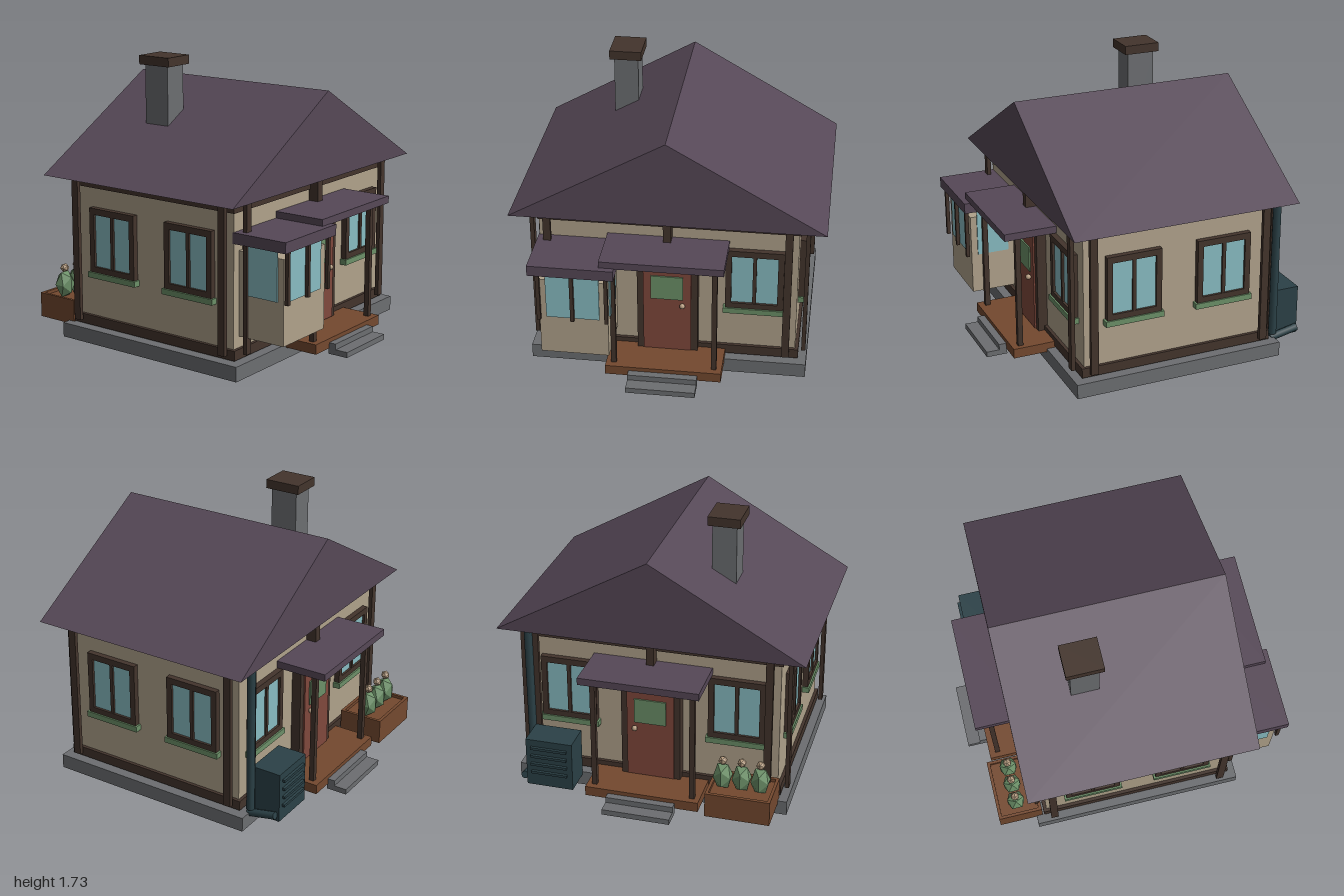
import * as THREE from 'three';

const mat = (name, color) => {
  const m = new THREE.MeshStandardMaterial({ color });
  m.name = name;
  return m;
};

export function createModel() {
  const wall = mat('plaster', 0xb0a28b), roof = mat('roofPurple', 0x564857);
  const timber = mat('darkTimber', 0x43342c), red = mat('doorRed', 0x80483c);
  const green = mat('leafGreen', 0x6c9068), glass = mat('windowBlue', 0x88bcc2);
  const stone = mat('stoneGrey', 0x6c6e71), deck = mat('deckBrown', 0x74492f);
  const teal = mat('darkTeal', 0x2b4147), pale = mat('paleBlossom', 0xb59c80);

  const house = new THREE.Group();
  house.name = 'cottage';

  const add = (parent, name, geometry, material) => {
    const mesh = new THREE.Mesh(geometry, material);
    mesh.name = name;
    parent.add(mesh);
    return mesh;
  };
  // Box given by its low and high limits on each axis
  const box = (parent, name, material, x0, x1, y0, y1, z0, z1) => {
    const m = add(parent, name, new THREE.BoxGeometry(x1 - x0, y1 - y0, Math.abs(z1 - z0)), material);
    m.position.set((x0 + x1) / 2, (y0 + y1) / 2, (z0 + z1) / 2);
    return m;
  };
  const group = (name, parent = house) => {
    const g = new THREE.Group();
    g.name = name;
    parent.add(g);
    return g;
  };

  // Base, walls and timber bands
  box(house, 'foundation', stone, -0.84, 0.84, 0, 0.09, -0.665, 0.665);
  box(house, 'walls', wall, -0.77, 0.77, 0.09, 1.03, -0.595, 0.595);
  box(house, 'lowerBand', timber, -0.79, 0.79, 0.1, 0.16, -0.615, 0.615);
  box(house, 'upperBand', timber, -0.78, 0.78, 0.96, 1.02, -0.605, 0.605);

  // Gable roof as one prism
  const gable = new THREE.Shape([
    new THREE.Vector2(-0.93, 1.03), new THREE.Vector2(0.93, 1.03), new THREE.Vector2(0, 1.56),
  ]);
  const roofGeometry = new THREE.ExtrudeGeometry(gable, { depth: 1.415, bevelEnabled: false });
  roofGeometry.translate(0, 0, -0.7075);
  add(house, 'roof', roofGeometry, roof);

  // Chimney
  box(house, 'chimney', stone, -0.43, -0.283, 1.1, 1.675, -0.324, -0.152);
  box(house, 'chimneyCap', timber, -0.455, -0.26, 1.675, 1.73, -0.35, -0.125);

  // Corner posts, standing just off the walls
  for (const sx of [-1, 1]) {
    for (const sz of [-1, 1]) {
      const x = sx * 0.713, z = sz * 0.551;
      box(house, 'cornerPost', timber, x - 0.0225, x + 0.0225, 0.13, 1.03, sz * 0.647 - 0.0125, sz * 0.647 + 0.0125);
      box(house, 'sidePost', timber, sx * 0.82 - 0.0125, sx * 0.82 + 0.0125, 0.13, 1.03, z - 0.0235, z + 0.0235);
    }
  }

  // Window, built facing +z with its back on z = 0
  const rect = (C, x, y0, y1) => new C([
    new THREE.Vector2(-x, y0), new THREE.Vector2(x, y0), new THREE.Vector2(x, y1), new THREE.Vector2(-x, y1),
  ]);
  const frameShape = rect(THREE.Shape, 0.1725, 0.443, 0.842);
  frameShape.holes.push(rect(THREE.Path, 0.137, 0.48, 0.803));
  const frameGeometry = new THREE.ExtrudeGeometry(frameShape, { depth: 0.035, bevelEnabled: false });
  const addWindow = (x, z, turn) => {
    const w = group('window');
    add(w, 'windowFrame', frameGeometry, timber);
    box(w, 'pane', glass, -0.14, 0.14, 0.475, 0.81, 0.012, 0.02);
    box(w, 'mullion', timber, -0.011, 0.011, 0.48, 0.803, 0, 0.033);
    box(w, 'sill', green, -0.185, 0.185, 0.41, 0.445, 0, 0.045);
    w.position.set(x, 0, z);
    w.rotation.y = turn;
  };
  for (const s of [-1, 1]) {
    addWindow(s * 0.516, 0.595, 0);
    addWindow(s * 0.516, -0.595, Math.PI);
    addWindow(0.77, s * 0.288, Math.PI / 2);
    addWindow(-0.77, s * 0.288, -Math.PI / 2);
  }

  // Door, porch, canopy and steps, the same at front and back
  for (const s of [1, -1]) {
    const p = group(s > 0 ? 'frontPorch' : 'backPorch');
    const part = (name, m, x0, x1, y0, y1, z0, z1) => box(p, name, m, x0, x1, y0, y1, s * z0, s * z1);
    part('doorFrameTop', timber, -0.182, 0.182, 0.775, 0.825, 0.59, 0.655);
    for (const x of [-0.1625, 0.1625]) part('doorFrameSide', timber, x - 0.0195, x + 0.0195, 0.13, 0.775, 0.59, 0.655);
    part('door', red, -0.144, 0.144, 0.135, 0.776, 0.59, 0.665);
    part('doorPanel', green, -0.097, 0.097, 0.5, 0.658, 0.665, 0.674);
    add(p, 'doorKnob', new THREE.SphereGeometry(0.017, 12, 8), pale).position.set(0.093, 0.463, s * 0.681);
    part('centrePost', timber, -0.0235, 0.0235, 0.82, 1.03, 0.59, 0.66);
    part('deck', deck, -0.348, 0.348, 0.07, 0.13, 0.6, 0.875);
    part('canopy', roof, -0.362, 0.362, 0.846, 0.89, 0.59, 0.917);
    for (const x of [-0.301, 0.301]) part('canopyPost', timber, x - 0.0155, x + 0.0155, 0.13, 0.847, 0.804, 0.836);
    part('upperStep', stone, -0.207, 0.207, 0.07, 0.105, 0.84, 0.92);
    part('lowerStep', stone, -0.207, 0.207, 0.036, 0.07, 0.87, 1.0);
  }

  // Bay window at the front
  const bay = group('bayWindow');
  box(bay, 'bayBody', wall, -0.722, -0.315, 0.228, 0.735, 0.59, 0.905);
  box(bay, 'bayFrontPane', glass, -0.68, -0.365, 0.482, 0.782, 0.905, 0.913);
  box(bay, 'baySidePane', glass, -0.315, -0.307, 0.482, 0.775, 0.665, 0.865);
  box(bay, 'baySidePane', glass, -0.73, -0.722, 0.482, 0.775, 0.665, 0.865);
  for (const x of [-0.72, -0.522, -0.32]) box(bay, 'bayMullion', timber, x - 0.011, x + 0.011, 0.475, 0.79, 0.918, 0.94);
  box(bay, 'bayCanopy', roof, -0.775, -0.272, 0.785, 0.85, 0.59, 0.952);

  // Planter with three bushes at the back
  const planter = group('planter');
  box(planter, 'planterBody', deck, -0.77, -0.41, 0.07, 0.205, -0.89, -0.64);
  for (const z of [-0.895, -0.635]) box(planter, 'planterRim', deck, -0.785, -0.396, 0.07, 0.225, z - 0.01, z + 0.01);
  for (const x of [-0.776, -0.405]) box(planter, 'planterRim', deck, x - 0.009, x + 0.009, 0.07, 0.225, -0.885, -0.645);
  for (const x of [-0.7, -0.588, -0.474]) {
    const bush = add(planter, 'bush', new THREE.IcosahedronGeometry(0.062), green);
    bush.position.set(x, 0.285, -0.775);
    bush.scale.y = 1.5;
    add(planter, 'blossom', new THREE.IcosahedronGeometry(0.029), pale).position.set(x, 0.389, -0.775);
  }

  // Cooling unit with slats on its rear face
  const unit = group('coolingUnit');
  box(unit, 'unitBody', teal, 0.437, 0.727, 0.07, 0.382, -0.845, -0.66);
  for (let i = 0; i < 4; i++) {
    const y = 0.165 + i * 0.055;
    box(unit, 'slat', teal, 0.47, 0.695, y - 0.008, y + 0.008, -0.862, -0.84);
  }

  // Drainpipe: a straight fall and a spout turned outwards
  const pipe = group('drainpipe');
  const fall = add(pipe, 'pipeFall', new THREE.CylinderGeometry(0.026, 0.026, 0.93, 8), teal);
  fall.position.set(0.748, 0.575, -0.663);
  const spout = add(pipe, 'pipeSpout', new THREE.CylinderGeometry(0.024, 0.024, 0.185, 8), teal);
  spout.position.set(0.748, 0.1, -0.74);
  spout.rotation.x = Math.PI / 2 - 0.2;
  spout.rotation.x *= -1;

  return house;
}
